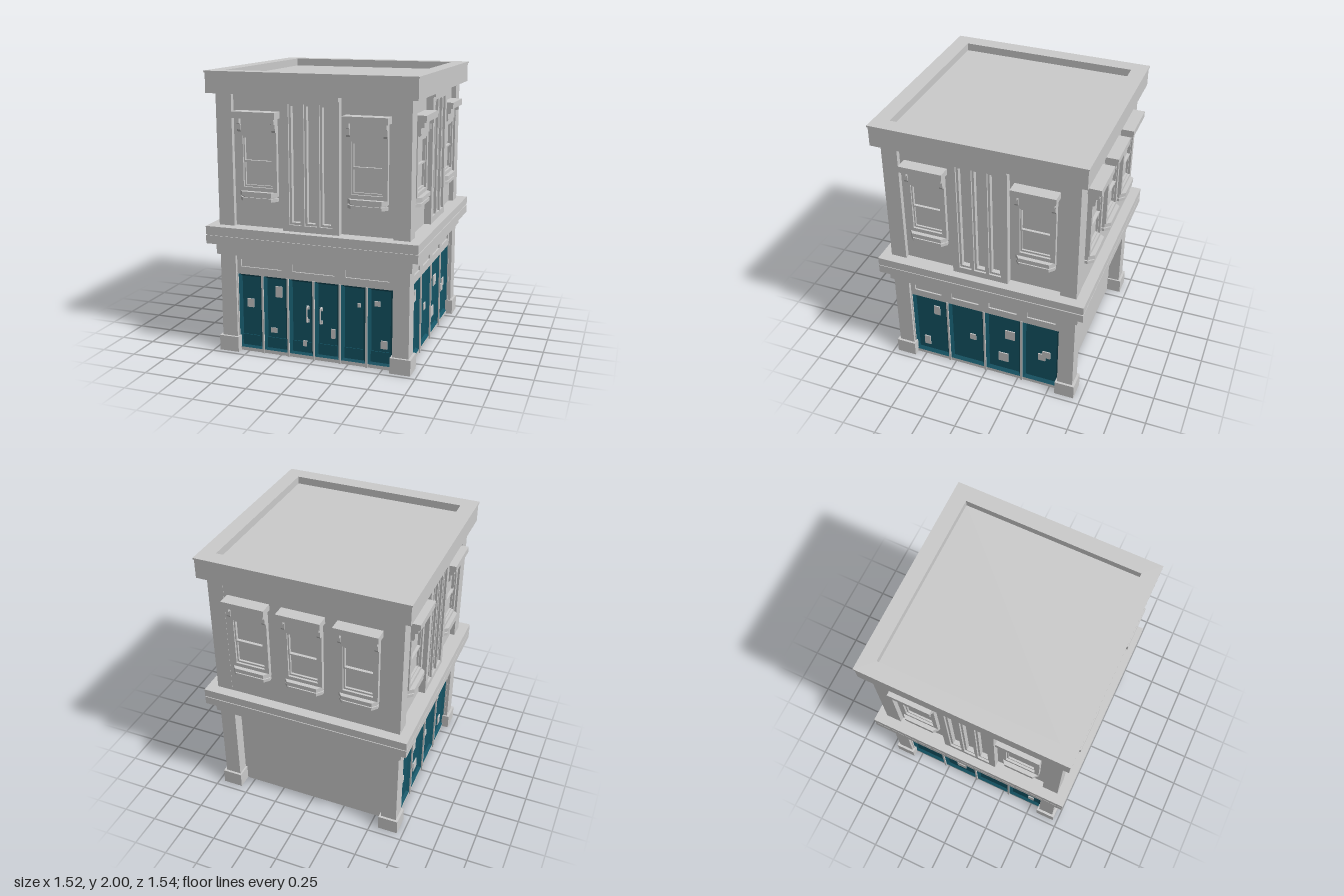
import * as THREE from 'three';

const grey = new THREE.MeshStandardMaterial({ color: 0xcccccc });
const teal = new THREE.MeshStandardMaterial({ color: 0x145566 });

const WALL = 0.655;   // upper wall plane
const SHOP = 0.64;    // shopfront glass plane

function add(parent, name, geometry, material = grey) {
  const mesh = new THREE.Mesh(geometry, material);
  mesh.name = name;
  parent.add(mesh);
  return mesh;
}

// Box given by its limits
function box(parent, name, x0, x1, y0, y1, z0, z1, material) {
  const g = new THREE.BoxGeometry(x1 - x0, y1 - y0, z1 - z0);
  g.translate((x0 + x1) / 2, (y0 + y1) / 2, (z0 + z1) / 2);
  return add(parent, name, g, material);
}

function rectPoints(x0, x1, y0, y1) {
  return [[x0, y0], [x1, y0], [x1, y1], [x0, y1]].map(p => new THREE.Vector2(...p));
}

// Flat board with rectangular holes, between z0 and z1
function board(parent, name, rect, holes, z0, z1, material) {
  const shape = new THREE.Shape(rectPoints(...rect));
  for (const h of holes) shape.holes.push(new THREE.Path(rectPoints(...h)));
  const g = new THREE.ExtrudeGeometry(shape, { depth: z1 - z0, bevelEnabled: false });
  g.translate(0, 0, z0);
  return add(parent, name, g, material);
}

// Picture frame whose face slopes inwards from z1 to z0
function slopedFrame(parent, name, [x0, x1, y0, y1], t, z0, z1, material) {
  const outer = rectPoints(x0, x1, y0, y1), inner = rectPoints(x0 + t, x1 - t, y0 + t, y1 - t);
  const pos = [];
  for (let i = 0; i < 4; i++) {
    const j = (i + 1) % 4;
    const a = [outer[i].x, outer[i].y, z1], b = [outer[j].x, outer[j].y, z1];
    const c = [inner[j].x, inner[j].y, z0], d = [inner[i].x, inner[i].y, z0];
    pos.push(...a, ...b, ...c, ...a, ...c, ...d);
  }
  const g = new THREE.BufferGeometry();
  g.setAttribute('position', new THREE.Float32BufferAttribute(pos, 3));
  g.computeVertexNormals();
  return add(parent, name, g, material);
}

// Sash window with bracketed hood and chamfered sill, wall at z = 0
function makeWindow() {
  const w = new THREE.Group();
  w.name = 'window';
  board(w, 'casing', [-0.14, 0.14, 1.185, 1.6], [[-0.108, 0.108, 1.212, 1.566]], -0.01, 0.03);
  const upper = [-0.098, 0.098, 1.397, 1.552], lower = [-0.098, 0.098, 1.225, 1.38];
  board(w, 'upperSash', [-0.108, 0.108, 1.385, 1.566], [upper], -0.01, 0.02);
  board(w, 'lowerSash', [-0.108, 0.108, 1.212, 1.392], [lower], -0.01, 0.014);

  // Hood
  box(w, 'hoodSlab', -0.155, 0.155, 1.69, 1.735, -0.01, 0.09);
  box(w, 'hoodBoard', -0.12, 0.12, 1.595, 1.69, -0.01, 0.042);
  const profile = [[-0.01, 1.595], [0.042, 1.595], [0.05, 1.61], [0.05, 1.65], [0.072, 1.655], [0.072, 1.69], [-0.01, 1.69]];
  const shape = new THREE.Shape(profile.map(p => new THREE.Vector2(...p)));
  for (const x of [-0.14, 0.113]) {
    const g = new THREE.ExtrudeGeometry(shape, { depth: 0.027, bevelEnabled: false });
    g.rotateY(-Math.PI / 2).translate(x + 0.027, 0, 0);
    add(w, 'hoodBracket', g);
  }

  // Sill layers
  for (const [half, out, y0, y1] of [[0.14, 0.06, 1.155, 1.185], [0.128, 0.045, 1.143, 1.155], [0.138, 0.055, 1.12, 1.143]]) {
    const plan = [[-half, 0.01], [-half, -0.02], [-half + 0.032, -out], [half - 0.032, -out], [half, -0.02], [half, 0.01]];
    const g = new THREE.ExtrudeGeometry(new THREE.Shape(plan.map(p => new THREE.Vector2(...p))), { depth: y1 - y0, bevelEnabled: false });
    g.rotateX(-Math.PI / 2).translate(0, y0, 0);
    add(w, 'sill', g);
  }
  return w;
}

function addWindows(parent, centres, z) {
  for (const x of centres) {
    const w = makeWindow();
    w.position.set(x, 0, z);
    parent.add(w);
  }
}

// Tall central panel with three stepped flutes
function addFlutedPanel(parent) {
  const flutes = [-0.11, 0, 0.11];
  const holes = (half, y0, y1) => flutes.map(x => [x - half, x + half, y0, y1]);
  const outline = [-0.203, 0.203, 0.93, 1.85];
  board(parent, 'flutedPanel', outline, holes(0.045, 0.975, 1.795), WALL + 0.03, WALL + 0.05);
  board(parent, 'flutedPanelStep', outline, holes(0.03, 0.99, 1.78), WALL - 0.01, WALL + 0.035);
  box(parent, 'flutedPanelCap', -0.203, 0.203, 1.82, 1.85, WALL, WALL + 0.065);
}

// Row of framed teal panes with mullions, sign band and patches
function addShopfront(parent, count, signs, patches, railed) {
  const half = 0.577, step = 2 * half / count;
  for (let i = 0; i < count; i++) {
    const x0 = -half + i * step + 0.006, x1 = x0 + step - 0.012;
    box(parent, 'pane', x0, x1, 0.025, 0.578, SHOP - 0.02, SHOP, teal);
    slopedFrame(parent, 'paneFrame', [x0, x1, 0.025, 0.578], 0.022, SHOP, SHOP + 0.02, teal);
    if (railed) box(parent, 'paneRail', x0 + 0.02, x1 - 0.02, 0.04, 0.12, SHOP, SHOP + 0.006, teal);
  }
  for (let i = 0; i <= count; i++) {
    const x = -half + i * step;
    box(parent, 'mullion', x - 0.007, x + 0.007, 0, 0.58, SHOP - 0.02, SHOP + 0.03);
  }
  box(parent, 'threshold', -half, half, 0, 0.025, SHOP - 0.02, SHOP + 0.02);
  box(parent, 'lintel', -half, half, 0.575, 0.595, SHOP - 0.02, SHOP + 0.025);
  board(parent, 'signBand', [-half, half, 0.595, 0.73], signs.map(([c, w]) => [c - w / 2, c + w / 2, 0.63, 0.685]), SHOP - 0.01, SHOP + 0.025);
  box(parent, 'signBacking', -half, half, 0.6, 0.72, SHOP - 0.02, SHOP + 0.013);
  for (const [x, y, w, h] of patches)
    box(parent, 'patch', x - w / 2, x + w / 2, y - h / 2, y + h / 2, SHOP - 0.01, SHOP + 0.008);
}

function addDoorHandles(parent) {
  for (const x of [-0.05, 0.05]) {
    const path = new THREE.CurvePath();
    const p = [[0.27, 0], [0.275, 0.025], [0.38, 0.025], [0.385, 0]].map(([y, z]) => new THREE.Vector3(x, y, SHOP + z));
    for (let i = 0; i < 3; i++) path.add(new THREE.LineCurve3(p[i], p[i + 1]));
    add(parent, 'doorHandle', new THREE.TubeGeometry(path, 24, 0.006, 8));
    for (const y of [0.28, 0.375]) box(parent, 'handlePlate', x - 0.01, x + 0.01, y - 0.012, y + 0.012, SHOP, SHOP + 0.01);
  }
}

export function createModel() {
  const model = new THREE.Group();
  model.name = 'cornerShop';
  const building = new THREE.Group();
  building.name = 'building';
  building.position.z = 0.008;
  model.add(building);

  // Wall cores; the back wall is recessed below and flush above
  box(building, 'lowerWalls', -0.63, 0.63, 0, 0.75, -0.6, 0.63);
  box(building, 'upperWalls', -WALL, WALL, 0.9, 1.9, -0.688, WALL);

  // Corner pilasters and plinths
  for (const sx of [-1, 1]) for (const sz of [-1, 1]) {
    const corner = (name, a, b, y0, y1) =>
      box(building, name, Math.min(sx * a, sx * b), Math.max(sx * a, sx * b), y0, y1, Math.min(sz * a, sz * b), Math.max(sz * a, sz * b));
    corner('lowerPilaster', 0.575, 0.69, 0, 0.73);
    corner('upperPilaster', 0.575, 0.69, 0.92, 1.86);
    corner('plinth', 0.562, 0.708, 0, 0.112);
  }

  // Middle cornice
  for (const [h, y0, y1] of [[0.71, 0.72, 0.805], [0.762, 0.805, 0.865], [0.756, 0.865, 0.872], [0.762, 0.872, 0.93]])
    box(building, 'middleCornice', -h, h, y0, y1, -h, h);

  // Parapet ring with a sunken roof
  const ring = (name, h, y0, y1) => {
    const m = board(building, name, [-h, h, -h, h], [[-0.635, 0.635, -0.635, 0.635]], 0, y1 - y0);
    m.geometry.rotateX(-Math.PI / 2).translate(0, y0, 0);
  };
  ring('parapet', 0.74, 1.85, 1.99);
  ring('parapetLip', 0.746, 1.988, 2);
  box(building, 'roof', -0.638, 0.638, 1.85, 1.945, -0.638, 0.638);

  const facade = (name, angle) => {
    const g = new THREE.Group();
    g.name = name;
    g.rotation.y = angle;
    building.add(g);
    return g;
  };

  // Front
  const front = facade('frontFacade', 0);
  addShopfront(front, 6, [[-0.39, 0.31], [0, 0.31], [0.39, 0.31]], [
    [-0.487, 0.36, 0.05, 0.063], [-0.268, 0.465, 0.048, 0.08], [-0.31, 0.175, 0.045, 0.036],
    [-0.073, 0.107, 0.03, 0.042], [0.135, 0.205, 0.03, 0.07], [0.325, 0.437, 0.022, 0.028],
    [0.455, 0.462, 0.04, 0.036], [0.505, 0.172, 0.046, 0.058]], true);
  addDoorHandles(front);
  addFlutedPanel(front);
  addWindows(front, [-0.39, 0.39], WALL);

  // Sides, with the patches mirrored
  const sidePatches = [
    [-0.384, 0.455, 0.048, 0.08], [-0.48, 0.13, 0.048, 0.08], [-0.1, 0.286, 0.046, 0.052],
    [0.194, 0.395, 0.075, 0.08], [0.14, 0.163, 0.075, 0.08], [0.438, 0.263, 0.055, 0.06], [0.473, 0.295, 0.06, 0.06]];
  for (const s of [1, -1]) {
    const side = facade(s > 0 ? 'leftFacade' : 'rightFacade', s * Math.PI / 2);
    const signs = [-0.435, -0.145, 0.145, 0.435].map(x => [x, 0.21]);
    addShopfront(side, 4, signs, sidePatches.map(([x, ...rest]) => [s * x, ...rest]), false);
    addFlutedPanel(side);
    addWindows(side, [-0.39, 0.39], WALL);
  }

  // Back
  addWindows(facade('backFacade', Math.PI), [-0.395, 0, 0.395], 0.69);
  return model;
}
